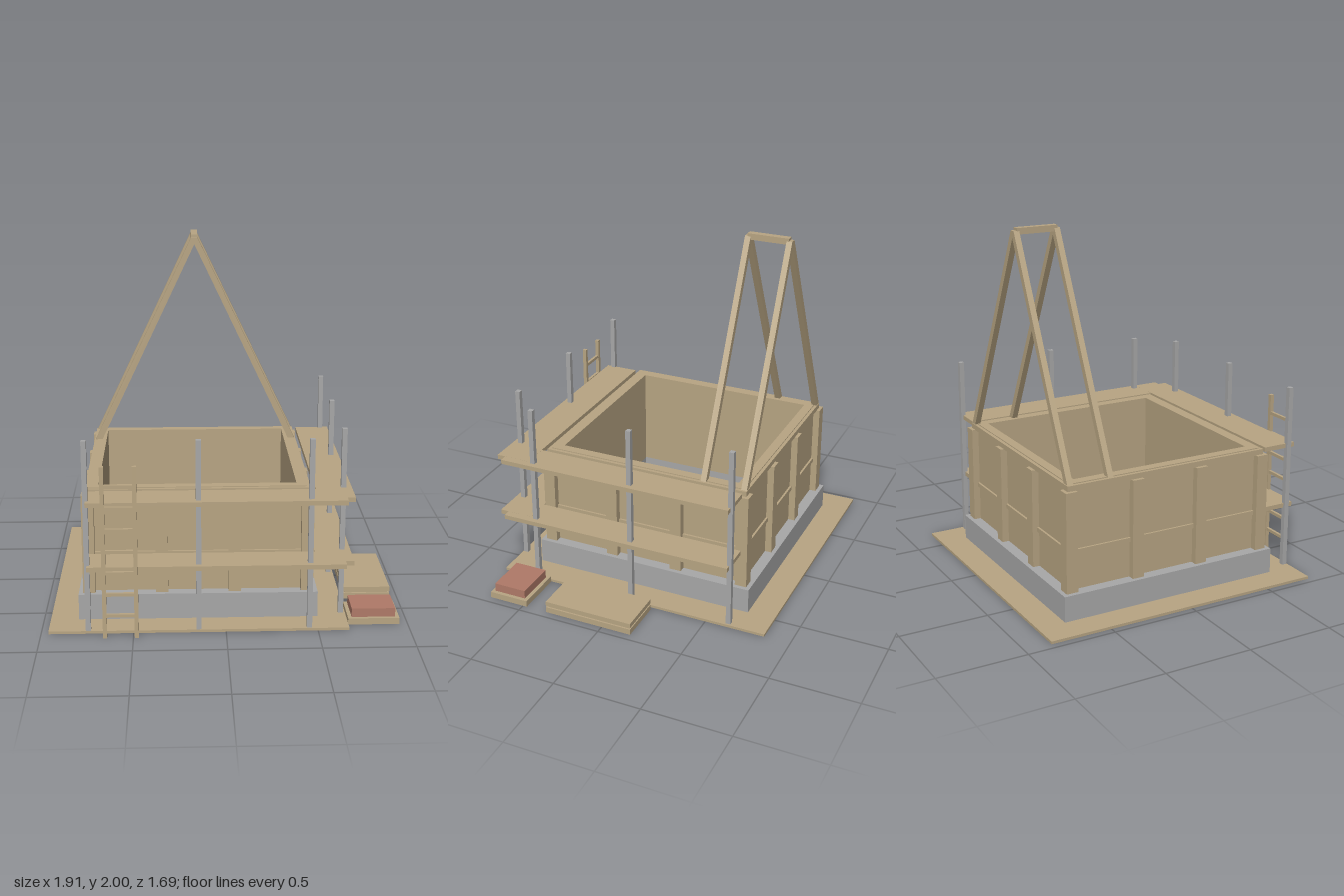
import * as THREE from 'three';

export function createModel() {
  const model = new THREE.Group();
  model.name = 'houseUnderConstruction';

  const wood = new THREE.MeshStandardMaterial({ color: 0xb8a583 });
  wood.name = 'wood';
  const grey = new THREE.MeshStandardMaterial({ color: 0xa8a8a8 });
  grey.name = 'grey';
  const brick = new THREE.MeshStandardMaterial({ color: 0xb07a68 });
  brick.name = 'brick';

  // Box given by its minimum and maximum on each axis
  function box(name, mat, x0, x1, y0, y1, z0, z1, parent = model) {
    const mesh = new THREE.Mesh(new THREE.BoxGeometry(x1 - x0, y1 - y0, z1 - z0), mat);
    mesh.position.set((x0 + x1) / 2, (y0 + y1) / 2, (z0 + z1) / 2);
    mesh.name = name;
    parent.add(mesh);
    return mesh;
  }

  function group(name) {
    const g = new THREE.Group();
    g.name = name;
    model.add(g);
    return g;
  }

  // Square frame around the house centre, from half-sizes and heights
  const cx = -0.147, cz = -0.034;
  function ring(name, mat, outer, inner, y0, y1) {
    const square = (Type, h) => {
      const s = new Type();
      s.moveTo(-h, -h);
      s.lineTo(h, -h);
      s.lineTo(h, h);
      s.lineTo(-h, h);
      s.closePath();
      return s;
    };
    const shape = square(THREE.Shape, outer);
    shape.holes.push(square(THREE.Path, inner));
    const geo = new THREE.ExtrudeGeometry(shape, { depth: y1 - y0, bevelEnabled: false });
    geo.rotateX(-Math.PI / 2);
    const mesh = new THREE.Mesh(geo, mat);
    mesh.position.set(cx, y0, cz);
    mesh.name = name;
    model.add(mesh);
  }

  // Ground, foundation and walls
  box('groundPlate', wood, -0.96, 0.67, 0, 0.015, -0.85, 0.78);
  ring('foundation', grey, 0.658, 0.542, 0.005, 0.16);
  ring('walls', wood, 0.595, 0.541, 0.16, 0.757);
  ring('middleRail', wood, 0.607, 0.59, 0.365, 0.39);
  ring('topBeam', wood, 0.614, 0.59, 0.72, 0.752);

  // Wall posts: four along each side, corners shared
  const posts = group('wallPosts');
  const steps = [-0.6, -0.2, 0.2, 0.6];
  for (const i of steps) {
    for (const j of steps) {
      const edgeX = Math.abs(i) === 0.6, edgeZ = Math.abs(j) === 0.6;
      if (!edgeX && !edgeZ) continue;
      const span = (v, edge, c) => {
        if (!edge) return [c + v - 0.034, c + v + 0.034];
        return v > 0 ? [c + 0.566, c + 0.634] : [c - 0.634, c - 0.566];
      };
      const [x0, x1] = span(i, edgeX, cx);
      const [z0, z1] = span(j, edgeZ, cz);
      box('wallPost', wood, x0, x1, 0.16, 0.722, z0, z1, posts);
    }
  }

  // Two rafter pairs and the ridge beam
  const roof = group('roofFrame');
  for (const z of [-0.39, -0.63]) {
    for (const side of [-1, 1]) {
      const s = new THREE.Shape();
      s.moveTo(side * 0.607, 0.755);
      s.lineTo(side * 0.567, 0.755);
      s.lineTo(0, 1.945);
      s.lineTo(0, 1.985);
      s.lineTo(side * 0.018, 1.985);
      s.closePath();
      const geo = new THREE.ExtrudeGeometry(s, { depth: 0.033, bevelEnabled: false });
      const rafter = new THREE.Mesh(geo, wood);
      rafter.position.set(cx, 0, z - 0.0165);
      rafter.name = 'rafter';
      roof.add(rafter);
    }
  }
  box('ridgeBeam', wood, cx - 0.019, cx + 0.019, 1.965, 2, -0.628, -0.388, roof);

  // Scaffold decks and poles
  const scaffold = group('scaffold');
  for (const y of [0.365, 0.725]) {
    box('frontDeck', wood, -0.745, 0.645, y, y + 0.026, 0.605, 0.805, scaffold);
    box('sideDeck', wood, 0.49, 0.69, y, y + 0.0255, -0.632, 0.755, scaffold);
  }
  const polePoints = [
    [-0.745, 0.762], [cx, 0.762], [0.453, 0.762],
    [0.645, -0.632], [0.645, -0.032], [0.645, 0.57],
  ];
  for (const [x, z] of polePoints) {
    box('scaffoldPole', grey, x - 0.014, x + 0.014, 0.005, 1.08, z - 0.014, z + 0.014, scaffold);
  }

  // Ladder
  const ladder = group('ladder');
  for (const x of [-0.652, -0.482]) {
    box('ladderRail', wood, x - 0.011, x + 0.011, 0, 0.96, 0.82, 0.842, ladder);
  }
  for (let i = 0; i < 7; i++) {
    const y = 0.127 + i * 0.1205;
    box('ladderRung', wood, -0.641, -0.493, y - 0.009, y + 0.009, 0.823, 0.839, ladder);
  }

  // Stacked boards
  const boards = group('boardStack');
  box('lowerBoards', wood, 0.69, 0.955, 0, 0.033, -0.175, 0.35, boards);
  box('boardSpacer', wood, 0.7, 0.945, 0.033, 0.042, -0.165, 0.34, boards);
  box('upperBoards', wood, 0.69, 0.955, 0.042, 0.069, -0.175, 0.35, boards);

  // Bricks on a pallet
  const bricks = group('brickStack');
  box('pallet', wood, 0.672, 0.955, 0, 0.036, 0.475, 0.71, bricks);
  box('bricks', brick, 0.693, 0.933, 0.036, 0.085, 0.498, 0.69, bricks);

  return model;
}
